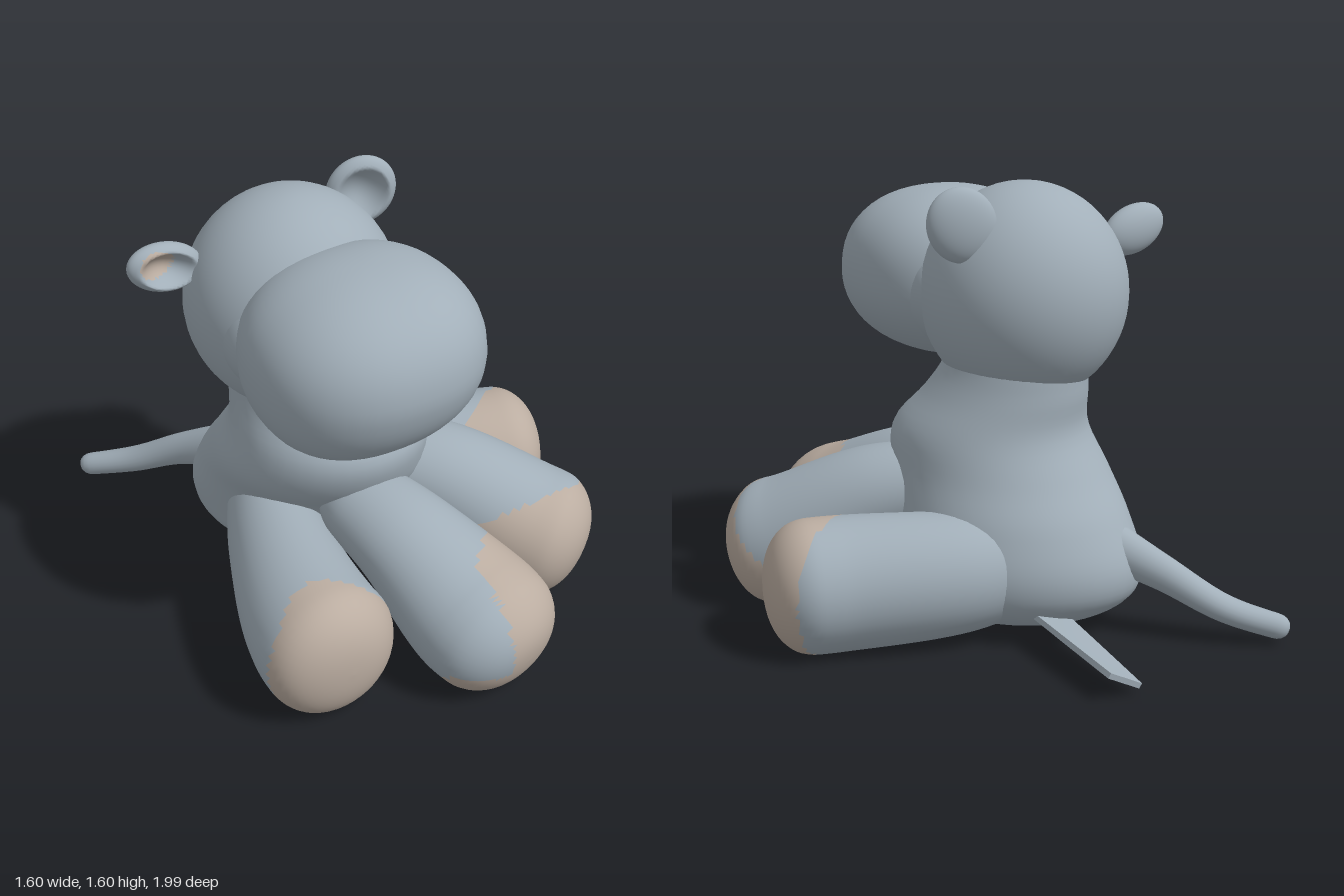
import * as THREE from 'three';
import { mergeVertices } from 'three/addons/utils/BufferGeometryUtils.js';

const plush = new THREE.MeshStandardMaterial({ color: 0xa2afb9 });
plush.name = 'greyBluePlush';
const sole = new THREE.MeshStandardMaterial({ color: 0xbbada1 });
sole.name = 'beigePlush';

// Splits the triangles in two colour groups by a rule on their centres.
function paint(geo, isBeige) {
  const p = geo.attributes.position, idx = geo.index.array, a = [], b = [];
  for (let i = 0; i < idx.length; i += 3) {
    const t = [idx[i], idx[i + 1], idx[i + 2]];
    const mid = (get) => t.reduce((s, k) => s + get(k), 0) / 3;
    const x = mid((k) => p.getX(k)), y = mid((k) => p.getY(k)), z = mid((k) => p.getZ(k));
    (isBeige(x, y, z) ? b : a).push(...t);
  }
  geo.setIndex([...a, ...b]);
  geo.clearGroups();
  geo.addGroup(0, a.length, 0);
  geo.addGroup(a.length, b.length, 1);
}

function makeMesh(name, geo, isBeige) {
  geo.computeVertexNormals();
  if (isBeige) paint(geo, isBeige);
  const mesh = new THREE.Mesh(geo, isBeige ? [plush, sole] : plush);
  mesh.name = name;
  return mesh;
}

// Stuffed tube through stations [x, y, z, sideRadius, upRadius], rounded at both ends.
// An upright tube keeps its sections level, with radii along and across the x = z diagonal.
function stuffed(stations, cap, upright = false, rows = 56, sides = 40) {
  const path = new THREE.CatmullRomCurve3(stations.map((s) => new THREE.Vector3(s[0], s[1], s[2])));
  const radii = new THREE.CatmullRomCurve3(stations.map((s) => new THREE.Vector3(s[3], s[4], 0)), false, 'catmullrom');
  const ref = upright ? new THREE.Vector3(-1, 0, 1) : new THREE.Vector3(0, 1, 0);
  const length = path.getLength(), pos = [], index = [];
  for (let i = 0; i <= rows; i++) {
    const u = (1 - Math.cos((Math.PI * i) / rows)) / 2;
    const t = path.getUtoTmapping(u);
    const c = path.getPoint(t), r = radii.getPoint(t);
    const T = upright ? new THREE.Vector3(0, 1, 0) : path.getTangent(t);
    const S = T.clone().cross(ref).normalize(), U = T.clone().cross(S);
    const d = Math.min(1, (Math.min(u, 1 - u) * length) / cap);
    const k = Math.max(0.002, Math.pow(1 - Math.pow(1 - d, 2.3), 1 / 2.3));
    for (let j = 0; j < sides; j++) {
      const a = (j / sides) * Math.PI * 2;
      const v = c.clone().addScaledVector(S, Math.cos(a) * r.x * k).addScaledVector(U, Math.sin(a) * r.y * k);
      pos.push(v.x, Math.max(0.008, v.y), v.z); // flattened where it rests on the ground
      if (i < rows) {
        const p = i * sides + j, q = i * sides + ((j + 1) % sides);
        index.push(p, q, p + sides, q, q + sides, p + sides);
      }
    }
  }
  const geo = new THREE.BufferGeometry();
  geo.setAttribute('position', new THREE.Float32BufferAttribute(pos, 3));
  geo.setIndex(index);
  return geo;
}

// Rounded blob; power below 1 makes it boxier, rule may move each vertex.
function blob(c, r, power = 1, rule) {
  let geo = new THREE.SphereGeometry(1, 48, 32);
  geo.deleteAttribute('uv');
  geo.deleteAttribute('normal');
  geo = mergeVertices(geo, 1e-4);
  const p = geo.attributes.position, v = new THREE.Vector3(), e = 2 / power;
  for (let i = 0; i < p.count; i++) {
    v.fromBufferAttribute(p, i);
    v.divideScalar(Math.pow(Math.abs(v.x) ** e + Math.abs(v.y) ** e + Math.abs(v.z) ** e, 1 / e));
    if (rule) rule(v);
    p.setXYZ(i, c[0] + v.x * r[0], c[1] + v.y * r[1], c[2] + v.z * r[2]);
  }
  return geo;
}

export function createModel() {
  const model = new THREE.Group();
  model.name = 'plushAnimal';

  // Sitting body, turned to the diagonal, long at the rump and narrowing to the neck
  model.add(makeMesh('body', stuffed([
    [-0.14, 0.01, -0.21, 0.39, 0.28],
    [-0.13, 0.23, -0.225, 0.455, 0.325],
    [-0.145, 0.41, -0.165, 0.43, 0.34],
    [-0.16, 0.57, -0.065, 0.4, 0.355],
    [-0.155, 0.71, -0.02, 0.36, 0.34],
    [-0.185, 0.85, -0.075, 0.3, 0.285],
    [-0.21, 0.96, -0.1, 0.265, 0.265],
    [-0.23, 1.15, -0.1, 0.25, 0.25],
  ], 0.18, true)));

  // Head
  const head = new THREE.Group();
  head.name = 'head';
  model.add(head);
  head.add(makeMesh('cranium', blob([-0.24, 1.2, -0.1], [0.38, 0.4, 0.38], 1.0)));
  head.add(makeMesh('cheeks', blob([-0.235, 1.19, 0.08], [0.355, 0.25, 0.26], 0.95)));
  head.add(makeMesh('muzzle', blob([-0.22, 1.22, 0.335], [0.405, 0.32, 0.39], 0.89, (v) => {
    v.x += 0.1 * v.y * v.y * (v.y > 0 ? 0.3 : -1);     // lower lip droops to one side
    v.z -= 0.1 * Math.max(0, -v.y) * Math.max(0, v.z); // receding chin
  })));

  // Ears, cupped towards the front
  const cup = (v) => {
    const rim = Math.hypot(v.x, v.y);
    if (v.z > 0) v.z -= 1.3 * Math.max(0, 1 - (rim / 0.75) ** 2);
  };
  const ear = (name, at, size, turn, roll, isBeige) => {
    const mesh = makeMesh(name, blob([0, 0, 0], size, 1, cup), isBeige);
    mesh.position.set(...at);
    mesh.rotation.set(0, turn, roll);
    head.add(mesh);
  };
  ear('leftEar', [0.09, 1.48, -0.18], [0.125, 0.135, 0.055], -0.3, -0.5);
  ear('rightEar', [-0.665, 1.4, -0.2], [0.14, 0.09, 0.06], 0, -0.28,
    (x, y, z) => z > -0.03 && Math.hypot((x + 0.04) / 0.07, (y - 0.015) / 0.055) < 1);

  // Legs with beige feet
  model.add(makeMesh('leftHindLeg', stuffed([
    [-0.2, 0.27, -0.29, 0.16, 0.18],
    [0.14, 0.25, -0.24, 0.215, 0.22],
    [0.53, 0.23, -0.05, 0.245, 0.24],
    [0.78, 0.23, 0.035, 0.235, 0.235],
  ], 0.17), (x, y, z) => 0.22 * x + 0.34 * z > 0.107));
  model.add(makeMesh('rightHindLeg', stuffed([
    [-0.28, 0.28, -0.3, 0.14, 0.18],
    [-0.43, 0.27, 0.1, 0.19, 0.215],
    [-0.52, 0.245, 0.52, 0.245, 0.25],
    [-0.52, 0.245, 0.775, 0.245, 0.25],
  ], 0.18), (x, y, z) => z > 0.58 + 0.05 * Math.sin(x * 14)));
  model.add(makeMesh('leftFrontLeg', stuffed([
    [-0.08, 0.5, -0.06, 0.15, 0.14],
    [0.2, 0.43, 0.2, 0.2, 0.19],
    [0.45, 0.24, 0.45, 0.24, 0.24],
    [0.59, 0.18, 0.61, 0.22, 0.22],
  ], 0.16), (x, y, z) => z - y > 0.1));
  model.add(makeMesh('rightFrontLeg', stuffed([
    [-0.19, 0.48, 0.08, 0.15, 0.13],
    [-0.1, 0.41, 0.42, 0.2, 0.18],
    [0.01, 0.235, 0.72, 0.26, 0.235],
    [0.07, 0.18, 0.98, 0.23, 0.2],
  ], 0.18), (x, y, z) => (x > -0.01 && x + z > 0.74) || (x > -0.2 && y < 0.16 && z > 0.6)));

  // Tail
  model.add(makeMesh('tail', stuffed([
    [-0.31, 0.35, -0.42, 0.09, 0.1],
    [-0.46, 0.24, -0.65, 0.06, 0.065],
    [-0.6, 0.13, -0.82, 0.055, 0.05],
    [-0.77, 0.06, -0.98, 0.04, 0.045],
  ], 0.05, false, 30, 20)));

  // Flat fabric label at the back, gently twisted along its length
  const strip = new THREE.BoxGeometry(0.14, 0.02, 0.64, 1, 1, 12);
  const p = strip.attributes.position;
  for (let i = 0; i < p.count; i++) {
    const x = p.getX(i), y = p.getY(i), z = p.getZ(i), a = 0.3 - z * 0.5;
    p.setXYZ(i, x * Math.cos(a) - y * Math.sin(a), x * Math.sin(a) + y * Math.cos(a), z);
  }
  const label = makeMesh('label', strip);
  label.position.set(-0.05, 0.095, -0.67);
  label.rotation.set(-0.08, -0.15, 0);
  model.add(label);

  return model;
}
